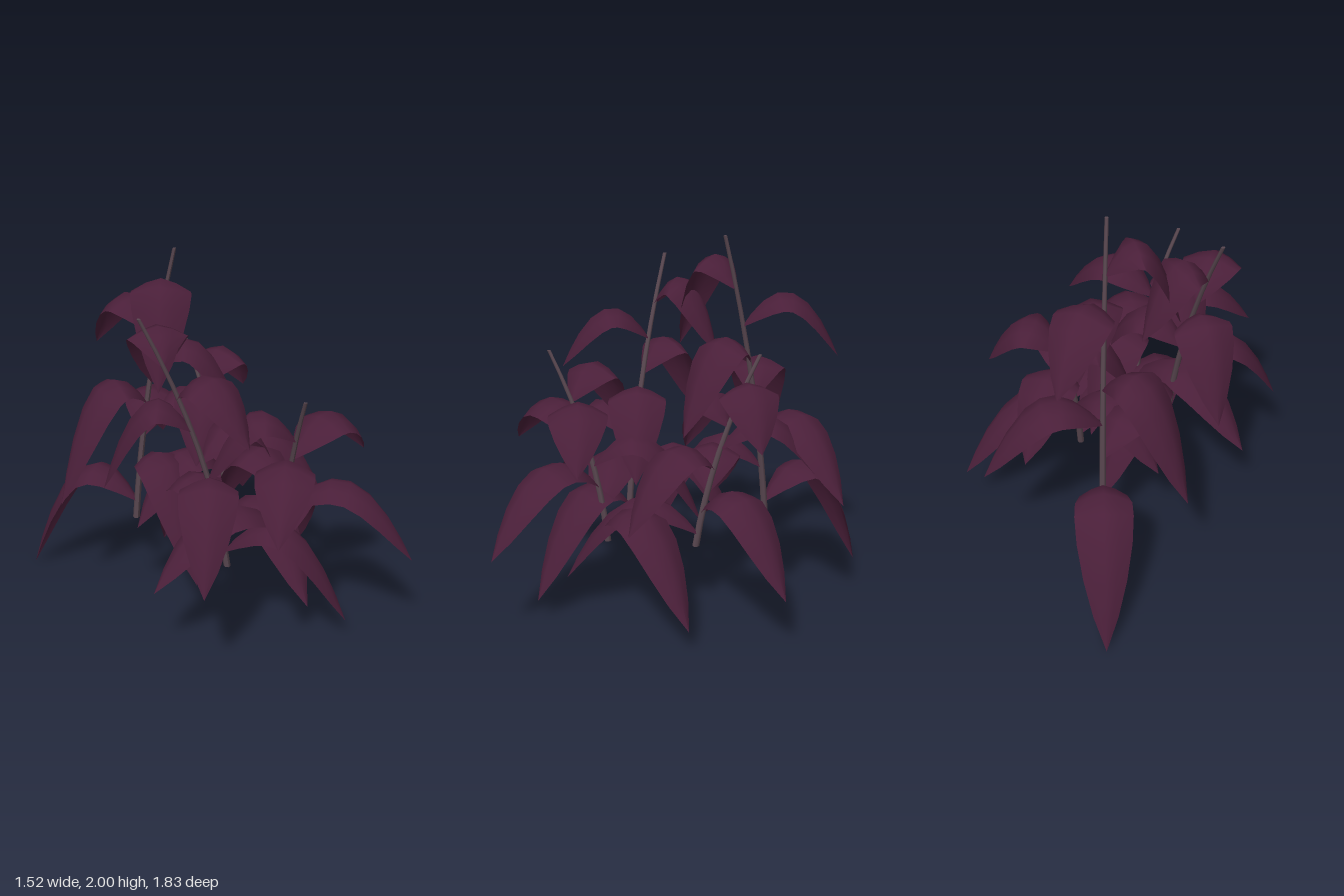
import * as THREE from 'three';

const V = (a) => new THREE.Vector3(...a);

// Leaf outline: [position along the midrib, share of full half width]
const OUTLINE = [[0, 0.1], [0.08, 0.48], [0.2, 0.82], [0.34, 0.97], [0.5, 1], [0.66, 0.94], [0.8, 0.74], [0.91, 0.43], [1, 0]];
const ACROSS = [-1, -0.5, 0, 0.5, 1];

// Each stem: base, middle and tip, leaf spacing, then the leaf tips from the lowest to the highest
const STEMS = [
  {
    path: [[-0.28, 0.4, -0.45], [-0.22, 1.2, -0.375], [-0.12, 2, -0.24]],
    step: 0.126,
    tips: [[-0.74, 0, -0.9], [-0.2, 0.26, 0.17], [0.1, 0.67, -0.92], [-0.76, 0.64, -0.33],
      [0.21, 1.01, -0.1], [-0.34, 1.34, -0.81], [-0.35, 1.35, 0.05]],
  },
  {
    path: [[-0.07, 0.4, 0.27], [-0.22, 1.1, 0.24], [-0.5, 1.81, 0.17]],
    step: 0.126,
    tips: [[0.45, 0.12, 0.63], [-0.16, 0.29, -0.34], [-0.44, 0.55, 0.76], [0.29, 0.76, 0.13],
      [-0.65, 0.87, 0.02], [-0.14, 1.24, 0.65], [-0.29, 1.32, -0.17]],
  },
  {
    path: [[0.21, 0.4, 0.31], [0.21, 0.92, 0.41], [0.175, 1.42, 0.62]],
    step: 0.112,
    tips: [[0.63, 0.13, -0.23], [-0.54, 0.41, 0.38], [0.76, 0.47, 0.76], [0.08, 0.5, -0.17],
      [-0.12, 0.82, 0.91], [0.72, 0.94, 0.31], [-0.23, 0.93, 0.34]],
  },
  {
    path: [[0.17, 0.4, -0.16], [0.12, 0.92, -0.27], [0.035, 1.43, -0.46]],
    step: 0.113,
    tips: [[0.28, 0.19, 0.52], [0.52, 0.3, -0.7], [-0.4, 0.5, -0.15], [0.6, 0.6, 0.09],
      [-0.05, 0.75, -0.77], [-0.1, 0.85, -0.04], [0.44, 1.04, -0.55]],
  },
];

// Tapered stem bent along a curve
function stemGeometry(curve) {
  const geo = new THREE.CylinderGeometry(0.01, 0.019, 1, 6, 8);
  const pos = geo.attributes.position;
  for (let i = 0; i < pos.count; i++) {
    const p = curve.getPoint(pos.getY(i) + 0.5);
    pos.setXYZ(i, p.x + pos.getX(i), p.y, p.z + pos.getZ(i));
  }
  geo.computeVertexNormals();
  return geo;
}

// Arched leaf whose edges fall away from the midrib
function leafGeometry(base, tip) {
  const reach = Math.hypot(tip.x - base.x, tip.z - base.z);
  const drop = base.y - tip.y;
  const lift = 0.25 + 0.26 * drop + 0.25 * reach;
  const control = base.clone().lerp(tip, 0.48 + 0.1 * drop / reach).setY(base.y + lift);
  const rib = new THREE.QuadraticBezierCurve3(base, control, tip);
  const side = new THREE.Vector3(tip.z - base.z, 0, base.x - tip.x).normalize();
  const halfWidth = 0.168 - 0.03 * reach;
  const positions = [], index = [];
  const n = ACROSS.length;
  OUTLINE.forEach(([t, w], row) => {
    const centre = rib.getPoint(t);
    const up = new THREE.Vector3().crossVectors(rib.getTangent(t), side).normalize();
    ACROSS.forEach((a, col) => {
      const p = centre.clone()
        .addScaledVector(side, a * w * halfWidth)
        .addScaledVector(up, -0.45 * Math.pow(Math.abs(a), 1.5) * w * halfWidth);
      positions.push(p.x, p.y, p.z);
      if (row && col) {
        const d = row * n + col, c = d - 1, b = d - n, e = b - 1;
        index.push(e, c, b);
        if (row < OUTLINE.length - 1) index.push(b, c, d);
      }
    });
  });
  const geo = new THREE.BufferGeometry();
  geo.setAttribute('position', new THREE.Float32BufferAttribute(positions, 3));
  geo.setIndex(index);
  geo.computeVertexNormals();
  return geo;
}

export function createModel() {
  const group = new THREE.Group();
  group.name = 'leafyPlant';
  const leafMat = new THREE.MeshStandardMaterial({ color: 0x4a1f39, side: THREE.DoubleSide });
  leafMat.name = 'plumLeaf';
  const stemMat = new THREE.MeshStandardMaterial({ color: 0x58464f });
  stemMat.name = 'greyStem';

  STEMS.forEach(({ path, step, tips }) => {
    const plant = new THREE.Group();
    plant.name = 'shoot';
    const [a, mid, b] = path.map(V);
    // Control point that makes the curve pass through the middle point
    const control = mid.clone().multiplyScalar(2).addScaledVector(a, -0.5).addScaledVector(b, -0.5);
    const curve = new THREE.QuadraticBezierCurve3(a, control, b);
    const stem = new THREE.Mesh(stemGeometry(curve), stemMat);
    stem.name = 'stem';
    plant.add(stem);
    tips.forEach((tip, k) => {
      const leaf = new THREE.Mesh(leafGeometry(curve.getPoint(0.07 + step * k), V(tip)), leafMat);
      leaf.name = 'leaf';
      plant.add(leaf);
    });
    group.add(plant);
  });
  return group;
}
